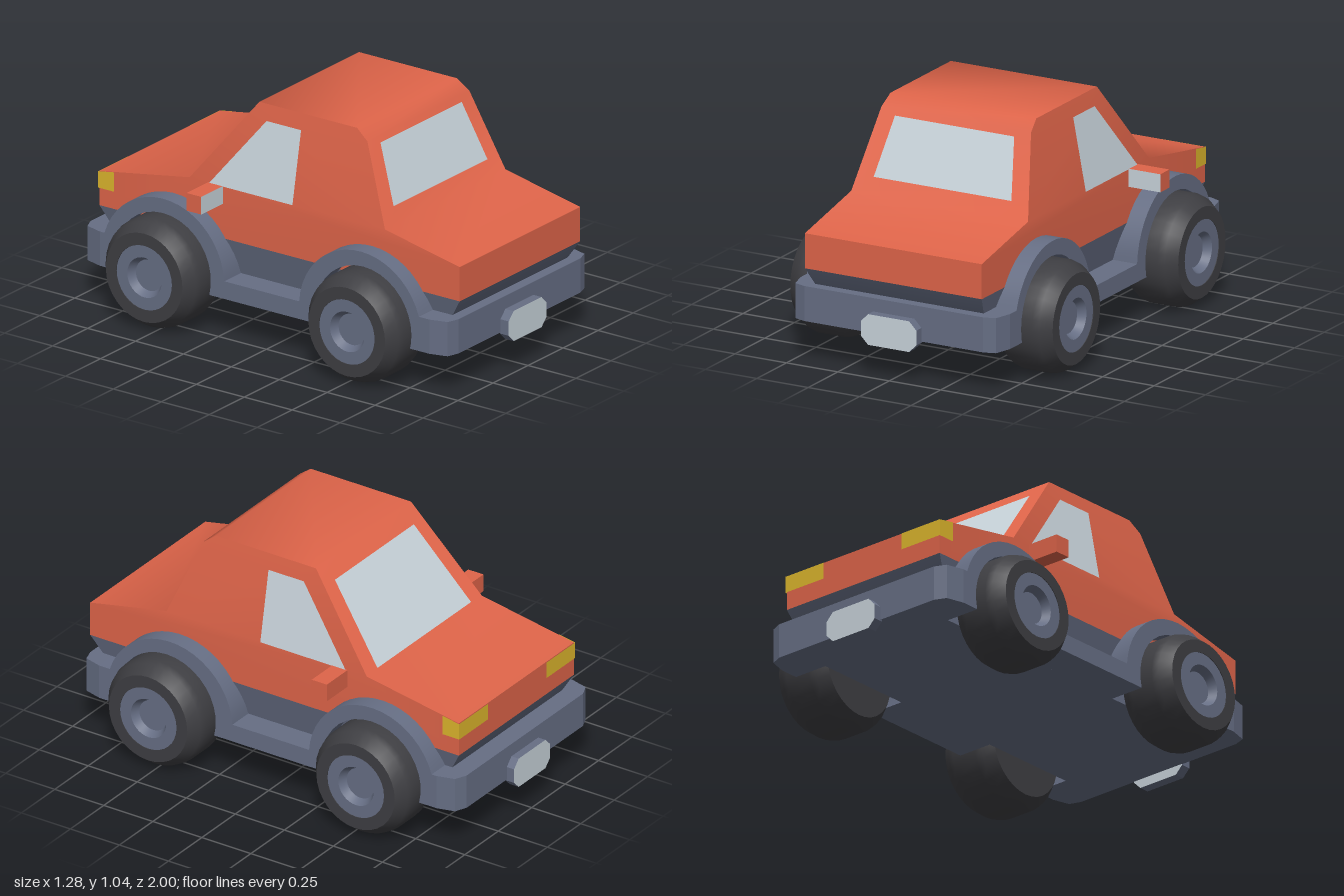
import * as THREE from 'three';
import { toCreasedNormals } from 'three/addons/utils/BufferGeometryUtils.js';

const mat = (name, color, side = THREE.FrontSide) => {
  const m = new THREE.MeshStandardMaterial({ color, side });
  m.name = name;
  return m;
};

// Solid with a counter-clockwise (z, y) outline; half width depends on height
function prism(outline, halfWidth, sides) {
  const pos = [];
  const put = (p, s) => pos.push(s * halfWidth(p[1]), p[1], p[0]);
  outline.forEach((a, i) => {
    const b = outline[(i + 1) % outline.length];
    put(a, 1); put(b, 1); put(a, -1);
    put(a, -1); put(b, 1); put(b, -1);
  });
  for (const side of sides) {
    const poly = side.map((i) => new THREE.Vector2(...outline[i]));
    for (const [i, j, k] of THREE.ShapeUtils.triangulateShape(poly, [])) {
      const t = [i, j, k].map((n) => outline[side[n]]);
      put(t[0], 1); put(t[2], 1); put(t[1], 1);
      put(t[0], -1); put(t[1], -1); put(t[2], -1);
    }
  }
  const g = new THREE.BufferGeometry();
  g.setAttribute('position', new THREE.Float32BufferAttribute(pos, 3));
  g.computeVertexNormals();
  return toCreasedNormals(g, 1.05);
}

// Flat four-cornered panel
function panel(a, b, c, d) {
  const g = new THREE.BufferGeometry();
  g.setAttribute('position', new THREE.Float32BufferAttribute([a, b, c, a, c, d].flat(), 3));
  g.computeVertexNormals();
  return g;
}

const shapeOf = (pts) => new THREE.Shape(pts.map((p) => new THREE.Vector2(p[0], p[1])));
const extrude = (pts, depth) =>
  new THREE.ExtrudeGeometry(shapeOf(pts), { depth, bevelEnabled: false });

// Points along a circular arc
function arc(cz, cy, r, a0, a1, n = 20) {
  return Array.from({ length: n + 1 }, (_, i) => {
    const a = a0 + ((a1 - a0) * i) / n;
    return [cz + r * Math.cos(a), cy + r * Math.sin(a)];
  });
}

export function createModel() {
  const car = new THREE.Group();
  car.name = 'car';
  const paint = mat('orange paint', 0xde6449);
  const slate = mat('slate trim', 0x666e84);
  const pale = mat('pale glass', 0xc8d3da, THREE.DoubleSide);
  const rubber = mat('dark rubber', 0x3e3e42);
  const yellow = mat('yellow lamp', 0xdcb52c, THREE.DoubleSide);
  const add = (name, geometry, material, parent = car) => {
    const m = new THREE.Mesh(geometry, material);
    m.name = name;
    parent.add(m);
    return m;
  };

  // Painted body with tapered cabin
  const bodyWidth = (y) => 0.43 - 0.075 * Math.max(0, (y - 0.655) / 0.39);
  add('body', prism(
    [[-0.92, 0.42], [0.96, 0.42], [0.96, 0.575], [0.57, 0.655], [0.43, 1.0],
      [0.37, 1.045], [-0.14, 1.045], [-0.45, 0.655], [-0.92, 0.575]],
    bodyWidth, [[0, 1, 2, 3, 7, 8], [3, 4, 5, 6, 7]]), paint);

  // Inward sloping skirt below the body
  add('skirt', prism([[-0.82, 0.25], [0.85, 0.25], [0.96, 0.42], [-0.92, 0.42]],
    (y) => 0.43 - 0.25 * (0.42 - y), [[0, 1, 2, 3]]), slate);

  // Chassis: solid core, and outer strips with arches and wheel wells
  const top = [[0.86, 0.34], ...arc(0.5, 0.245, 0.32, 0.301, Math.PI - 0.0625),
    ...arc(-0.53, 0.245, 0.32, 0.0625, Math.PI - 0.301), [-0.86, 0.34], [-0.86, 0.185]];
  const wells = [-0.53, 0.515].flatMap((z) => arc(z, 0.25, 0.25, Math.PI + 0.263, -0.263));
  const across = (pts, x0, x1) =>
    toCreasedNormals(extrude(pts, x1 - x0).translate(0, 0, -x1).rotateY(-Math.PI / 2), 0.6);
  add('chassisCore', across([...top, [0.86, 0.185]], -0.345, 0.345), slate);
  const strip = [...top, ...wells, [0.86, 0.185]];
  add('leftArches', across(strip, 0.345, 0.51), slate);
  add('rightArches', across(strip, -0.51, -0.345), slate);

  for (const [end, s, len] of [['rear', 1, 0.957], ['front', -1, 0.963]]) {
    // Bumper with cut corners
    const half = [[0.51, 0.86], [0.488, 0.94], [0.435, len]];
    const plan = [...half, ...half.map(([x, z]) => [-x, z]).reverse()].map(([x, z]) => [x, s * z]);
    add(end + 'Bumper', extrude(plan, 0.155).rotateX(Math.PI / 2).translate(0, 0.34, 0), slate);

    // Eight-sided plate with pale face
    const plate = [[0.135, 0.18], [0.135, 0.245], [0.1, 0.281], [-0.1, 0.281],
      [-0.135, 0.245], [-0.135, 0.18], [-0.1, 0.145], [0.1, 0.145]];
    add(end + 'Plate', extrude(plate, 0.046).translate(0, 0, s > 0 ? 0.954 : -1), [pale, slate]);
  }

  // Front and rear windows, just proud of the sloping cabin
  const e = 0.004;
  const windscreenZ = (y) => -0.45 + (0.31 * (y - 0.655)) / 0.39 - e;
  const rearZ = (y) => 0.57 - (0.14 * (y - 0.655)) / 0.345 + e;
  const endWindow = (z, y0, y1, w0, w1) =>
    panel([-w0, y0, z(y0)], [w0, y0, z(y0)], [w1, y1, z(y1)], [-w1, y1, z(y1)]);
  add('rearWindow', endWindow(rearZ, 0.725, 0.975, 0.335, 0.29), pale);
  add('windscreen', endWindow(windscreenZ, 0.98, 0.66, 0.295, 0.35), pale);

  // Tyre and rim profiles
  const lathe = (pts) => toCreasedNormals(
    new THREE.LatheGeometry(pts.map((p) => new THREE.Vector2(...p)), 32), 0.5);
  const tyre = lathe([[0, -0.137], [0.2, -0.137], [0.235, -0.09], [0.244, -0.06], [0.244, 0.06],
    [0.235, 0.09], [0.2, 0.137], [0.145, 0.137], [0.145, 0.09]]);
  const rim = lathe([[0.145, 0.09], [0.145, 0.134], [0.09, 0.134], [0.07, 0.1], [0, 0.1]]);

  for (const [side, s] of [['left', 1], ['right', -1]]) {
    // Side window
    const at = (z, y) => [s * (bodyWidth(y) + e), y, z];
    const win = [at(0.09, 0.655), at(-0.345, 0.655), at(-0.09, 0.975), at(0.09, 0.975)];
    add(side + 'Window', panel(...(s > 0 ? win : win.reverse())), pale);

    // Headlamp wrapping round the corner
    const x = s * (0.43 + e), z = -0.92 - e;
    const face = [[x, 0.5, z], [s * 0.22, 0.5, z], [s * 0.22, 0.574, z], [x, 0.574, z]];
    const flank = [[x, 0.5, -0.84], [x, 0.5, z], [x, 0.574, z], [x, 0.588, -0.84]];
    add(side + 'HeadlampFace', panel(...(s > 0 ? face : face.reverse())), yellow);
    add(side + 'HeadlampFlank', panel(...(s > 0 ? flank : flank.reverse())), yellow);

    // Door mirror with pale rear face
    add(side + 'Mirror', new THREE.BoxGeometry(0.175, 0.08, 0.077),
      [paint, paint, paint, paint, pale, paint]).position.set(s * 0.498, 0.616, -0.314);

    // Wheels
    for (const [end, wz] of [['Front', -0.535], ['Rear', 0.523]]) {
      const wheel = new THREE.Group();
      wheel.name = side + end + 'Wheel';
      add('tyre', tyre, rubber, wheel);
      add('rim', rim, slate, wheel);
      wheel.rotation.z = (-s * Math.PI) / 2;
      wheel.position.set(s * 0.501, 0.246, wz);
      car.add(wheel);
    }
  }
  car.position.x = -0.003;
  return car;
}
